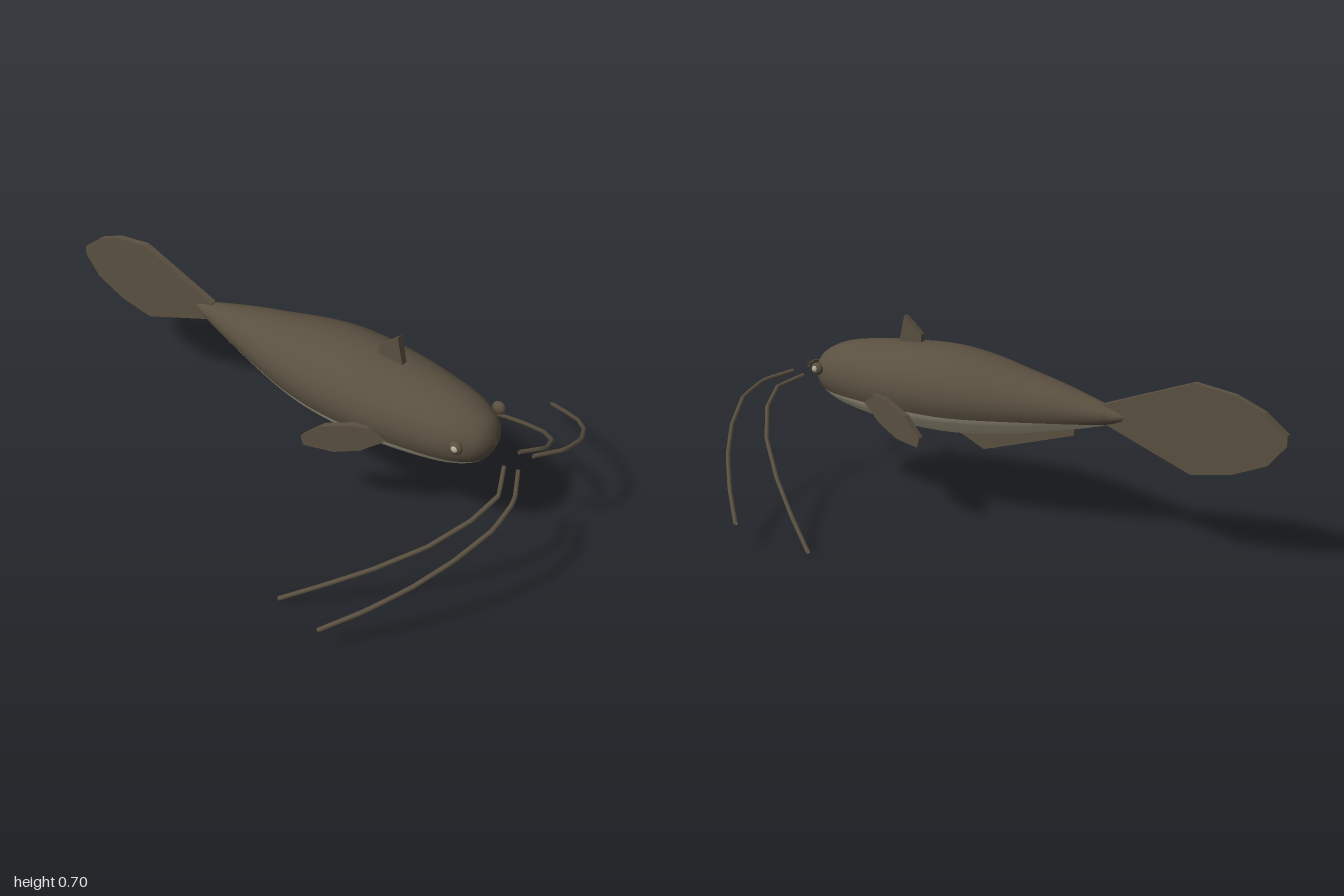
import * as THREE from 'three';

const skin = new THREE.MeshStandardMaterial({ color: 0x5a5041, side: THREE.DoubleSide });
skin.name = 'brown skin';
const pale = new THREE.MeshStandardMaterial({ color: 0xbab298, side: THREE.DoubleSide });
pale.name = 'pale belly';

// Body stations from nose to tail: z, top y, bottom y, half width
const stations = [
  [0.828, 0.457, 0.457, 0], [0.812, 0.503, 0.413, 0.05], [0.78, 0.538, 0.375, 0.088],
  [0.7, 0.573, 0.342, 0.128], [0.57, 0.596, 0.318, 0.156], [0.42, 0.609, 0.306, 0.177],
  [0.25, 0.615, 0.304, 0.182], [0.1, 0.598, 0.317, 0.167], [-0.05, 0.567, 0.342, 0.13],
  [-0.2, 0.535, 0.375, 0.088], [-0.33, 0.5, 0.408, 0.049], [-0.42, 0.474, 0.438, 0.02],
  [-0.45, 0.457, 0.457, 0],
];
const spline = (f) => new THREE.CatmullRomCurve3(stations.map(f), false, 'catmullrom', 0.5);
const topCurve = spline(([z, top, , w]) => new THREE.Vector3(w, top, z));
const bottomCurve = spline(([z, , bottom]) => new THREE.Vector3(0, bottom, z));

// Half of the body skin, above or below the colour line
function bodyPatch(isBelly) {
  const rows = 60, cols = 28, pos = [], index = [];
  for (let i = 0; i <= rows; i++) {
    const a = topCurve.getPoint(i / rows), b = bottomCurve.getPoint(i / rows);
    const cy = (a.y + b.y) / 2, ry = Math.max((a.y - b.y) / 2, 0.0005), rx = Math.max(a.x, 0.0005);
    const line = 0.4 + 0.045 * Math.max(0, 0.2 - a.z);
    const phi = Math.asin(THREE.MathUtils.clamp((line - cy) / ry, -1, 1));
    const from = isBelly ? Math.PI - phi : phi;
    const to = isBelly ? 2 * Math.PI + phi : Math.PI - phi;
    for (let j = 0; j <= cols; j++) {
      const t = from + (to - from) * j / cols;
      pos.push(rx * Math.cos(t), cy + ry * Math.sin(t), a.z);
      if (i < rows && j < cols) {
        const k = i * (cols + 1) + j, n = k + cols + 1;
        index.push(k, n, k + 1, n, n + 1, k + 1);
      }
    }
  }
  const g = new THREE.BufferGeometry();
  g.setAttribute('position', new THREE.Float32BufferAttribute(pos, 3));
  g.setIndex(index);
  g.computeVertexNormals();
  return g;
}

// Upright plate from a [z, y] outline, centred on x = 0
function plate(outline, thickness) {
  const shape = new THREE.Shape(outline.map(([z, y]) => new THREE.Vector2(z, y)));
  const g = new THREE.ExtrudeGeometry(shape, { depth: thickness, bevelEnabled: false });
  return g.translate(0, 0, -thickness / 2).rotateY(-Math.PI / 2);
}

export function createModel() {
  const model = new THREE.Group();
  model.name = 'fish';
  const add = (name, geometry, material) => {
    const mesh = new THREE.Mesh(geometry, material);
    mesh.name = name;
    model.add(mesh);
    return mesh;
  };

  add('back', bodyPatch(false), skin);
  add('belly', bodyPatch(true), pale);

  // Fins along the middle
  add('tailFin', plate([
    [-0.36, 0.495], [-0.68, 0.615], [-0.82, 0.595], [-0.92, 0.553], [-1, 0.49],
    [-1, 0.455], [-0.94, 0.38], [-0.82, 0.328], [-0.68, 0.303], [-0.36, 0.428],
  ], 0.024), skin);
  add('dorsalFin', plate([[0.47, 0.58], [0.44, 0.703], [0.37, 0.64], [0.37, 0.58]], 0.024), skin);
  add('analFin', plate([[0.23, 0.31], [0.11, 0.253], [-0.25, 0.365], [-0.25, 0.41], [0.1, 0.34]], 0.024), skin);

  for (const [side, s] of [['left', 1], ['right', -1]]) {
    // Side fin, slanting outwards to the rear
    const fin = plate([
      [0.51, 0.41], [0.455, 0.45], [0.4, 0.443], [0.3, 0.405], [0.23, 0.34],
      [0.24, 0.305], [0.345, 0.312], [0.435, 0.35],
    ], 0.024);
    const p = fin.attributes.position;
    for (let i = 0; i < p.count; i++) p.setX(i, p.getX(i) + s * (0.17 + (0.48 - p.getZ(i)) * 0.25));
    fin.computeVertexNormals();
    add(side + 'SideFin', fin, skin);

    // Eye with a pale centre
    const eye = add(side + 'Eye', new THREE.SphereGeometry(0.024, 16, 12), skin);
    eye.scale.x = 0.65;
    eye.position.set(s * 0.128, 0.488, 0.753);
    const spot = add(side + 'EyeSpot', new THREE.SphereGeometry(0.012, 12, 8), pale);
    spot.scale.x = 0.5;
    spot.position.set(s * 0.14, 0.49, 0.755);

    // Whiskers
    const paths = {
      UpperWhisker: [
        [0.045, 0.435, 0.935], [0.155, 0.418, 0.99], [0.27, 0.385, 0.99], [0.4, 0.32, 0.937],
        [0.51, 0.25, 0.865], [0.615, 0.172, 0.77], [0.71, 0.1, 0.667],
      ],
      LowerWhisker: [
        [0.045, 0.425, 0.885], [0.145, 0.4, 0.93], [0.245, 0.352, 0.9], [0.355, 0.272, 0.817],
        [0.46, 0.178, 0.69], [0.543, 0.095, 0.565], [0.617, 0.01, 0.437],
      ],
    };
    for (const [name, pts] of Object.entries(paths)) {
      const curve = new THREE.CurvePath();
      const v = pts.map(([x, y, z]) => new THREE.Vector3(s * x, y, z));
      for (let i = 1; i < v.length; i++) curve.add(new THREE.LineCurve3(v[i - 1], v[i]));
      add(side + name, new THREE.TubeGeometry(curve, 24, 0.008, 6), skin);
    }
  }
  return model;
}
